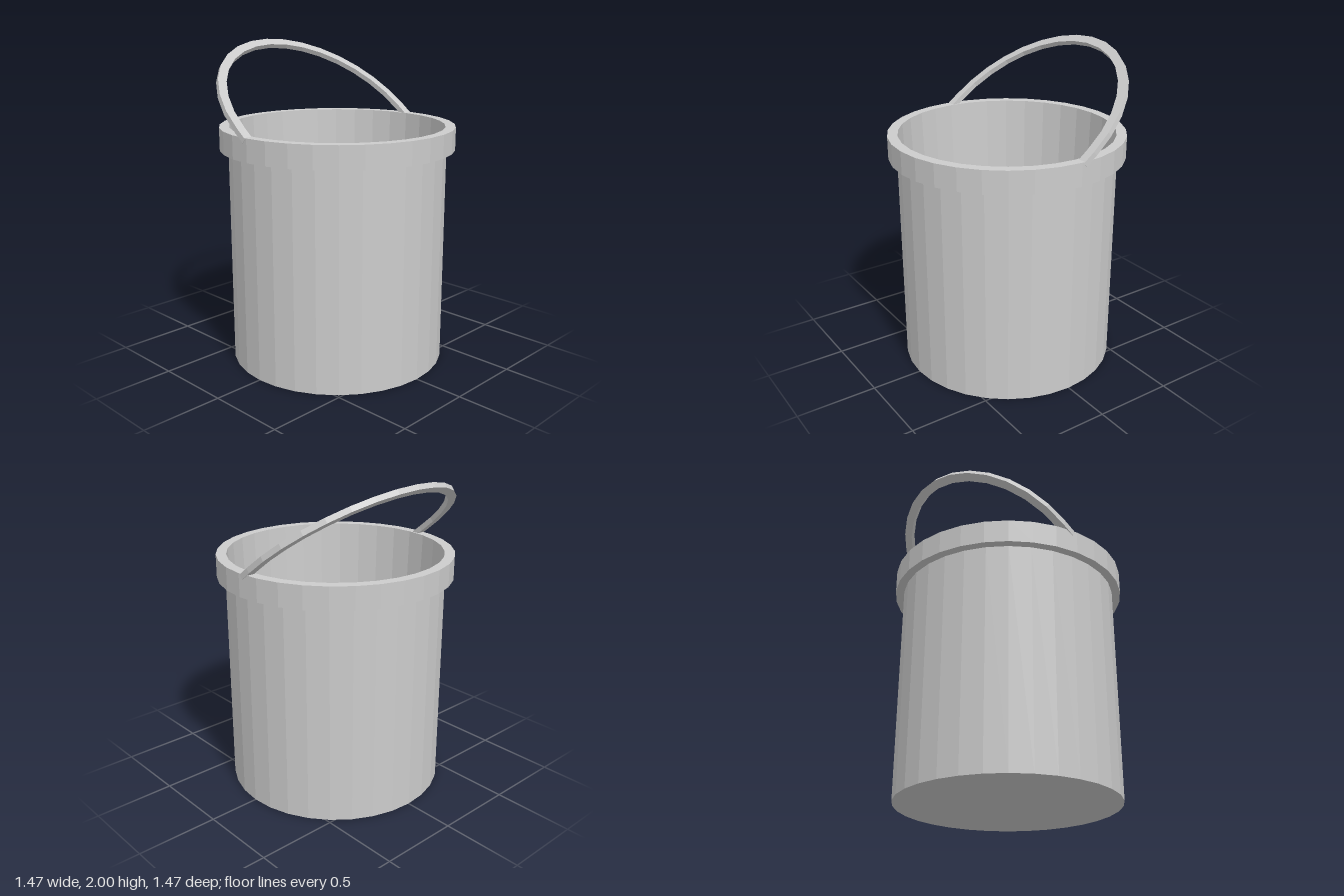
import * as THREE from 'three';

const SIDES = 32;
const grey = new THREE.MeshStandardMaterial({ color: 0xcccccc, flatShading: true });

function part(name, geometry) {
  const mesh = new THREE.Mesh(geometry, grey);
  mesh.name = name;
  return mesh;
}

// Faceted surface of revolution from [radius, height] pairs
function turned(name, profile) {
  const points = profile.map(([r, y]) => new THREE.Vector2(r, y));
  return part(name, new THREE.LatheGeometry(points, SIDES));
}

// Flat arched strip: half ring with short straight legs
function arch(outer, inner, leg, thickness) {
  const steps = SIDES / 2;
  const arc = (r) => Array.from({ length: steps + 1 }, (_, i) => {
    const a = (i / steps) * Math.PI;
    return new THREE.Vector2(r * Math.cos(a), r * Math.sin(a));
  });
  const outline = [
    new THREE.Vector2(outer, -leg), ...arc(outer), new THREE.Vector2(-outer, -leg),
    new THREE.Vector2(-inner, -leg), ...arc(inner).reverse(), new THREE.Vector2(inner, -leg),
  ];
  const geometry = new THREE.ExtrudeGeometry(new THREE.Shape(outline), { depth: thickness, bevelEnabled: false });
  return geometry.translate(0, 0, -thickness);
}

export function createModel() {
  const bucket = new THREE.Group();
  bucket.name = 'bucket';

  // Base and straight outer wall
  bucket.add(turned('outerWall', [[0, 0], [0.68, 0], [0.68, 1.36]]));

  // Thick band around the mouth
  bucket.add(turned('rim', [[0.68, 1.36], [0.733, 1.36], [0.733, 1.502], [0.67, 1.502]]));

  // Tapered inside wall and floor
  bucket.add(turned('innerWall', [[0.67, 1.502], [0.622, 0.06], [0, 0.06]]));

  // Handle leaning to the back, its feet sunk into the rim
  const handle = part('handle', arch(0.733, 0.678, 0.085, 0.033));
  handle.position.set(0, 1.549, -0.078);
  handle.rotation.x = THREE.MathUtils.degToRad(-52);
  bucket.add(handle);

  return bucket;
}
